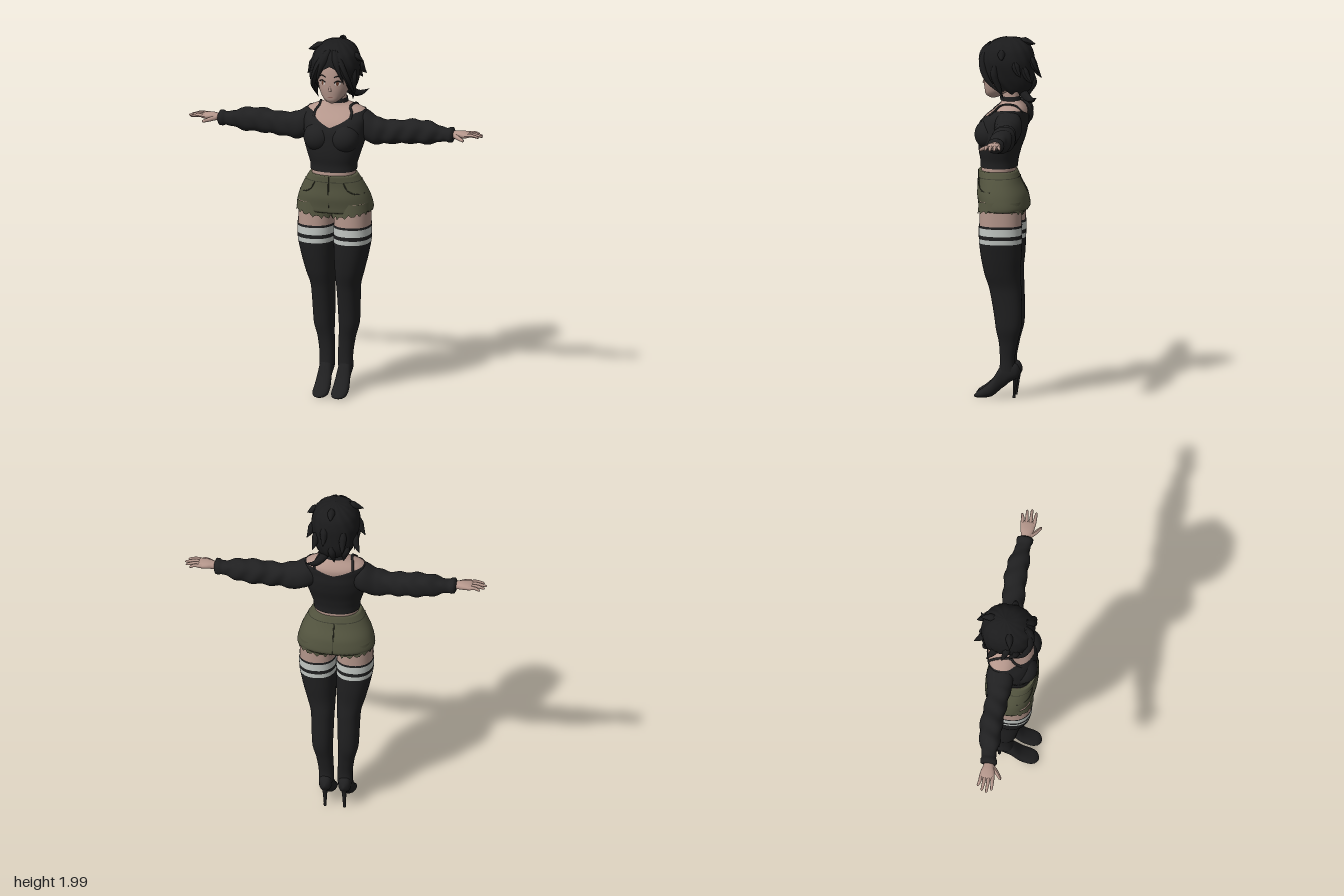
import * as THREE from 'three';

const mat = (name, color, side = THREE.FrontSide) => Object.assign(new THREE.MeshStandardMaterial({ color, side }), { name });

// Smooth monotone interpolation of rows [key, a, b, ...] at a key value.
function at(rows, k) {
  const n = rows.length - 1;
  if (k <= rows[0][0]) return rows[0];
  if (k >= rows[n][0]) return rows[n];
  let i = 0;
  while (rows[i + 1][0] < k) i++;
  const h = rows[i + 1][0] - rows[i][0], t = (k - rows[i][0]) / h;
  const slope = (j, c) => (rows[j + 1][c] - rows[j][c]) / (rows[j + 1][0] - rows[j][0]);
  const tangent = (j, c) => {
    if (j === 0) return slope(0, c);
    if (j === n) return slope(n - 1, c);
    const a = slope(j - 1, c), b = slope(j, c);
    return a * b <= 0 ? 0 : 2 * a * b / (a + b);
  };
  return rows[i].map((p, c) => {
    const s = t * t * (3 - 2 * t);
    return p + (rows[i + 1][c] - p) * s + h * (t * (1 - t) * (1 - t) * tangent(i, c) - t * t * (1 - t) * tangent(i + 1, c));
  });
}

// Point on a profile with rows [y, cz, rx, rz, cx]; angle 0 is the front, positive is +x.
function surf(rows, a, y, off = 0) {
  const [, cz, rx, rz, cx = 0] = at(rows, y);
  const p = (v) => Math.sign(v) * Math.abs(v) ** 0.88;
  return new THREE.Vector3(cx + (rx + off) * p(Math.sin(a)), y, cz + (rz + off) * p(Math.cos(a)));
}

function geometry(points, index) {
  const g = new THREE.BufferGeometry().setFromPoints(points);
  g.setIndex(index);
  g.computeVertexNormals();
  return g;
}

// Skin over a profile between two edges, each a number or a function of the angle.
function shell(rows, lo, hi, { off = 0, nu = 40, nv = 14, cap = false } = {}) {
  const f = (v, ...args) => (typeof v === 'function' ? v(...args) : v);
  const pts = [], idx = [];
  for (let i = 0; i <= nv; i++) for (let j = 0; j < nu; j++) {
    let a = j / nu * Math.PI * 2;
    if (a > Math.PI) a -= Math.PI * 2;
    const y = THREE.MathUtils.lerp(f(lo, a), f(hi, a), i / nv);
    pts.push(surf(rows, a, y, f(off, a, y)));
    if (i === nv) continue;
    const p = i * nu + j, q = i * nu + (j + 1) % nu;
    idx.push(p, q, p + nu, q, q + nu, p + nu);
  }
  if (cap) [0, nv].forEach((row) => {
    const c = new THREE.Vector3(), id = pts.length;
    pts.slice(row * nu, row * nu + nu).forEach((p) => c.addScaledVector(p, 1 / nu));
    pts.push(c);
    for (let j = 0; j < nu; j++) {
      const p = row * nu + j, q = row * nu + (j + 1) % nu;
      idx.push(id, ...(row ? [p, q] : [q, p]));
    }
  });
  return geometry(pts, idx);
}

// Thin oval patch lying on a profile.
function patch(rows, a, y, ra, ry, off) {
  const pts = [surf(rows, a, y, off)], idx = [], n = 16;
  for (let i = 0; i < n; i++) {
    const t = i / n * Math.PI * 2;
    pts.push(surf(rows, a + ra * Math.cos(t), y + ry * Math.sin(t), off));
    idx.push(0, 1 + i, 1 + (i + 1) % n);
  }
  return geometry(pts, idx);
}

// Tube whose thickness follows taper(u).
function strand(points, r, taper = () => 1, seg = 14) {
  const curve = new THREE.CatmullRomCurve3(points.map((p) => (p.isVector3 ? p : new THREE.Vector3(...p))));
  const g = new THREE.TubeGeometry(curve, seg, r, 8), pos = g.attributes.position, v = new THREE.Vector3();
  for (let i = 0; i < pos.count; i++) {
    const u = Math.floor(i / 9) / seg, c = curve.getPointAt(u);
    v.fromBufferAttribute(pos, i).sub(c).multiplyScalar(taper(u)).add(c);
    pos.setXYZ(i, v.x, v.y, v.z);
  }
  g.computeVertexNormals();
  return g;
}
const lockTaper = (u) => Math.max(0.02, Math.min(1, 0.5 + u * 2) * (1 - u ** 2.2));
const fingerTaper = (u) => (u > 0.99 ? 0.05 : 1 - 0.45 * u * u);

function mirrored(g) {
  const m = g.clone().applyMatrix4(new THREE.Matrix4().makeScale(-1, 1, 1)), ix = m.index.array;
  for (let i = 0; i < ix.length; i += 3) [ix[i], ix[i + 1]] = [ix[i + 1], ix[i]];
  return m;
}

const TORSO = [[1.2, .058, .12, .095], [1.3, .05, .122, .096], [1.36, .048, .138, .107], [1.45, .034, .163, .123],
  [1.5, .026, .166, .126], [1.55, .013, .168, .115], [1.6, -.015, .162, .083], [1.628, -.018, .1, .06], [1.645, -.012, .056, .05], [1.72, -.005, .05, .05]];
const PELVIS = [[1.03, .03, .2, .12], [1.06, .022, .209, .136], [1.12, .03, .197, .135], [1.2, .046, .162, .114], [1.26, .058, .126, .102]];
const LEG = [[.15, 0, .037, .04, .052], [.2, .001, .037, .036, .052], [.3, -.005, .041, .046, .059], [.4, -.008, .052, .067, .071],
  [.6, .008, .06, .083, .072], [.7, .025, .075, .095, .083], [.8, .03, .089, .108, .094], [.9, .033, .098, .114, .102], [1.1, .03, .1, .115, .1]];
const HEAD = [[1.655, .085, .01, .015], [1.67, .074, .038, .048], [1.7, .05, .066, .08], [1.75, .035, .085, .1],
  [1.8, .03, .092, .105], [1.86, .02, .093, .108], [1.95, 0, .03, .04]];
const HAIR = [[1.67, -.03, .07, .055], [1.72, -.02, .1, .11], [1.78, 0, .121, .143], [1.86, .005, .132, .147],
  [1.92, .002, .12, .134], [1.96, -.005, .092, .102], [1.983, -.008, .056, .062], [1.993, -.01, .002, .002]];
// Arm rows run along x as [x, centre y, centre z, half height, half depth].
const alongX = (rows) => rows.map(([x, y, z, h, d]) => [x, z, h, d, -y]);
const SLEEVE = alongX([[.1, 1.53, -.02, .06, .06], [.16, 1.518, -.017, .084, .075], [.23, 1.488, -.012, .076, .066], [.31, 1.488, -.015, .064, .06],
  [.44, 1.498, -.022, .066, .061], [.52, 1.498, -.017, .062, .057], [.628, 1.497, -.006, .036, .04], [.64, 1.498, -.004, .042, .046],
  [.66, 1.5, -.003, .041, .045], [.668, 1.5, -.002, .024, .03]]);
const HAND = alongX([[.63, 1.5, 0, .022, .029], [.67, 1.503, 0, .02, .028], [.71, 1.507, 0, .019, .038], [.75, 1.507, 0, .014, .042], [.762, 1.507, 0, .004, .036]]);
// Foot rows run along z as [z, top, bottom, half width].
const FOOT = [[-.071, .155, .135, .006], [-.055, .185, .11, .028], [-.02, .2, .092, .036], [.02, .195, .06, .036],
  [.09, .092, .006, .044], [.13, .056, 0, .045], [.165, .032, 0, .035], [.182, .014, .004, .01]]
  .map(([z, t, b, w]) => [z, -(t + b) / 2, w, (t - b) / 2, .053]).map(([z, down, w, h, x]) => [z, down, w, h, x]);

export function createModel() {
  const model = new THREE.Group();
  model.name = 'figure';
  const D = THREE.DoubleSide;
  const skin = mat('skin', 0xb4968b), hair = mat('hair', 0x1b1b1c, D), cloth = mat('black cloth', 0x202021, D);
  const olive = mat('olive denim', 0x53543f, D), seam = mat('dark olive seam', 0x3a3b2e), white = mat('pale stripe', 0xc3c8c4);
  const eyeWhite = mat('eye white', 0xd2c8c2), iris = mat('brown iris', 0x6b4030), lip = mat('lip', 0x93675f);
  const add = (name, geo, m) => {
    const mesh = new THREE.Mesh(geo, m);
    mesh.name = name;
    model.add(mesh);
  };
  const pair = (name, geo, m) => {
    add(name + 'Left', geo, m);
    add(name + 'Right', mirrored(geo), m);
  };
  const edge = (rows) => (a) => at(rows, Math.abs(a))[1];
  const lineOn = (rows, list, r) => strand(list.map(([a, y]) => surf(rows, a, y, .004)), r);

  // Torso and top
  add('torso', shell(TORSO, 1.21, 1.72, { nv: 44 }), skin);
  const neckline = edge([[0, 1.528], [.5, 1.572], [.75, 1.597], [1.57, 1.608], [2.4, 1.6], [3.15, 1.565]]);
  add('top', shell(TORSO, 1.277, neckline, { off: .006, nv: 28, nu: 56 }), cloth);
  pair('bust', new THREE.SphereGeometry(1, 28, 18).scale(.083, .082, .078).translate(.073, 1.463, .1), cloth);
  pair('strap', lineOn(TORSO, [[.6, 1.57], [.62, 1.6], [.8, 1.623], [2, 1.626], [2.5, 1.59]], .007), cloth);
  add('choker', shell(TORSO, 1.644, 1.668, { off: .006, nv: 3 }), cloth);

  // Sleeves with soft folds, hands
  const { smoothstep } = THREE.MathUtils;
  const folds = (a, x) => .004 * Math.sin(x * 62 + 1.5 * Math.sin(a * 2)) * smoothstep(x, .2, .28) * (1 - smoothstep(x, .58, .62));
  pair('sleeve', shell(SLEEVE, .1, .668, { off: folds, nv: 64, nu: 28 }).rotateZ(-Math.PI / 2), cloth);
  pair('palm', shell(HAND, .63, .762, { nv: 16, nu: 20, cap: true }).rotateZ(-Math.PI / 2), skin);
  [.802, .826, .834, .817].forEach((tip, i) => {
    const z = .021 * (i - 1.5);
    pair('finger' + (i + 1), strand([[.735, 1.508, z], [.775, 1.512, z * 1.1], [tip, 1.503, z * 1.25 - .004]], .0105, fingerTaper), skin);
  });
  pair('thumb', strand([[.672, 1.502, .015], [.705, 1.497, .048], [.742, 1.49, .077]], .0135, fingerTaper), skin);

  // Shorts with frayed leg openings
  add('shorts', shell(PELVIS, 1.048, 1.258, { off: .004, nv: 20, nu: 56, cap: true }), olive);
  const fray = (a) => 1.03 + .022 * Math.sin(a) + .007 * Math.sin(a * 17) + .004 * Math.sin(a * 29);
  pair('shortsLeg', shell(LEG, fray, 1.1, { off: (a, y) => .005 + .09 * (1.1 - y), nu: 88, nv: 6 }), olive);
  add('waistSeam', shell(PELVIS, 1.222, 1.226, { off: .007, nv: 2 }), seam);
  add('flySeam', lineOn(PELVIS, [[0, 1.255], [0, 1.17], [0, 1.08]], .003), seam);
  add('backSeam', lineOn(PELVIS, [[Math.PI, 1.222], [Math.PI, 1.15], [Math.PI, 1.06]], .003), seam);
  pair('frontPocketSeam', lineOn(PELVIS, [[.5, 1.222], [.58, 1.18], [.85, 1.157], [1.3, 1.155]], .003), seam);

  // Legs: thigh, striped stocking, heeled shoe
  pair('thigh', shell(LEG, .93, 1.1, { nv: 6 }), skin);
  const bands = [.15, .868, .893, .914, .955, .968];
  bands.slice(1).forEach((hi, i) =>
    pair('stockingBand' + (i + 1), shell(LEG, bands[i], hi, { off: .004, nv: i ? 2 : 36 }), i % 2 ? white : cloth));
  pair('shoe', shell(FOOT, -.071, .182, { nv: 30, nu: 28, cap: true }).rotateX(Math.PI / 2), cloth);
  pair('heel', strand([[.053, .145, -.048], [.053, .07, -.042], [.053, .004, -.036]], .022, (u) => 1 - .68 * Math.sqrt(u)), cloth);
  pair('heelTip', new THREE.CylinderGeometry(.008, .008, .012, 12).translate(.053, .006, -.036), cloth);

  // Head and face
  add('head', shell(HEAD, 1.655, 1.95, { nv: 32, cap: true }), skin);
  add('nose', strand([[0, 1.772, .126], [0, 1.748, .132], [0, 1.734, .134]], .009, (u) => .4 + .6 * u), skin);
  add('mouth', patch(HEAD, 0, 1.698, .2, .003, .002), lip);
  pair('eye', patch(HEAD, .44, 1.778, .2, .013, .002), eyeWhite);
  pair('iris', patch(HEAD, .42, 1.778, .09, .0125, .0035), iris);
  pair('lash', lineOn(HEAD, [[.22, 1.783], [.42, 1.793], [.66, 1.785]], .003), hair);
  pair('brow', lineOn(HEAD, [[.2, 1.812], [.42, 1.82], [.64, 1.814]], .0025), hair);

  // Hair: parted cap with choppy edge
  const hairline = edge([[0, 1.875], [.3, 1.85], [.55, 1.815], [.85, 1.745], [1.15, 1.7], [3.15, 1.685]]);
  const choppy = (a) => hairline(a) + .01 * Math.sin(a * 11) * (Math.abs(a) > .8 ? 1 : .3);
  add('hairCap', shell(HAIR, choppy, 1.993, { nv: 30, nu: 72, off: (a, y) => .002 * Math.sin(a * 14 + y * 40) }), hair);

  // Locks slide down the cap from one height to another, turning and flaring at the tip
  const lock = (a, y0, y1, turn, flare) => strand([0, .33, .67, 1].map((t) =>
    surf(HAIR, a + turn * t, y0 + (y1 - y0) * t, flare * t * t - .006)), .023, lockTaper);
  pair('shortBang', lock(.1, 1.955, 1.775, .5, .012), hair);
  pair('longBang', lock(.2, 1.95, 1.69, .95, .045), hair);
  pair('sideLock', lock(1.2, 1.85, 1.665, -.1, .045), hair);
  [[-1.3, 1.97, 1.935, .045], [-1.5, 1.88, 1.785, .05], [-1.9, 1.82, 1.725, .06], [1.4, 1.93, 1.885, .038], [1.9, 1.87, 1.79, .045],
    [2.8, 1.89, 1.8, .045], [-2.7, 1.87, 1.755, .05], [2.3, 1.84, 1.75, .05], [3.1, 1.78, 1.655, .025], [-2.4, 1.77, 1.66, .025], [3, 1.98, 1.955, .045]]
    .forEach(([a, y0, y1, flare], i) => add('hairSpike' + (i + 1), lock(a, y0, y1, .1 * Math.sign(a), flare), hair));
  add('sideTail', strand([[.03, 1.715, -.07], [.06, 1.678, -.1], [.095, 1.66, -.135], [.14, 1.678, -.168]], .026, lockTaper), hair);
  return model;
}
